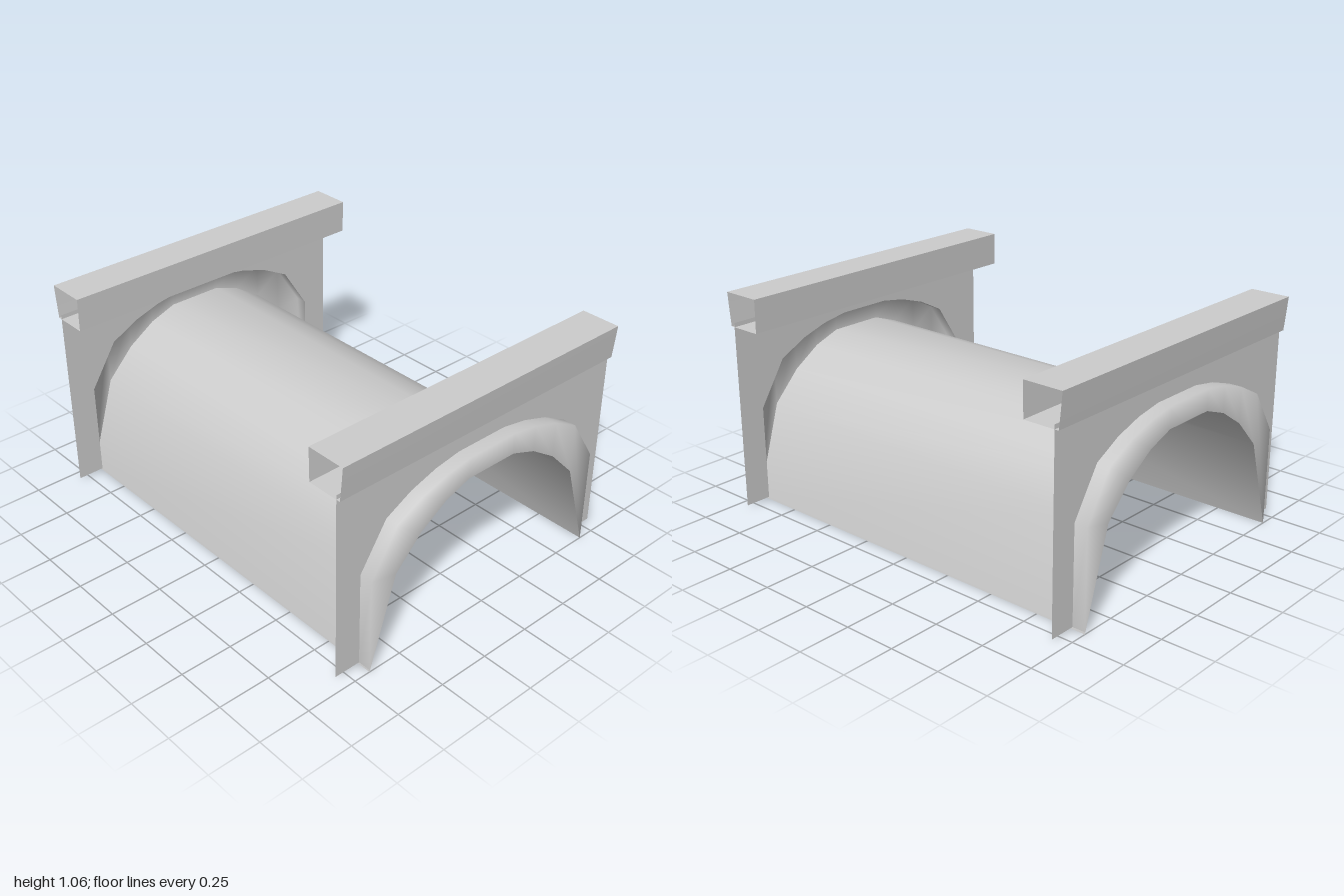
import * as THREE from 'three';
import { toCreasedNormals } from 'three/addons/utils/BufferGeometryUtils.js';

const material = new THREE.MeshStandardMaterial({ color: 0xcccccc, side: THREE.DoubleSide });

// Half profiles as [z, y], from the foot to the crown
const vaultHalf = [[0.67, 0], [0.535, 0.44], [0.4, 0.58], [0.265, 0.668], [0.135, 0.715]];
const trimHalf = [[0.67, 0.01], [0.67, 0.47], [0.535, 0.68], [0.4, 0.75], [0.265, 0.793], [0.135, 0.815]];
const mirrorArch = (half) => [...half, ...half.slice().reverse().map(([z, y]) => [-z, y])];
const vaultArch = mirrorArch(vaultHalf);
const trimArch = mirrorArch(trimHalf);
// Vault profile with a doubled foot, so it pairs with the trim profile
const innerArch = mirrorArch([[0.67, 0], ...vaultHalf]);

const along = (arch, x) => arch.map(([z, y]) => [x, y, z]);

// Open sheet through rows of points, with soft normals up to the crease angle
function sheet(rows, crease) {
  const n = rows[0].length;
  const index = [];
  for (let r = 0; r < rows.length - 1; r++) {
    for (let i = 0; i < n - 1; i++) {
      const a = r * n + i;
      index.push(a, a + 1, a + n, a + 1, a + n + 1, a + n);
    }
  }
  const geometry = new THREE.BufferGeometry();
  geometry.setAttribute('position', new THREE.Float32BufferAttribute(rows.flat(2), 3));
  geometry.setIndex(index);
  geometry.computeVertexNormals();
  return toCreasedNormals(geometry, crease);
}

function add(parent, name, geometry) {
  const mesh = new THREE.Mesh(geometry, material);
  mesh.name = name;
  parent.add(mesh);
  return mesh;
}

export function createModel() {
  const model = new THREE.Group();
  model.name = 'archedBridge';

  // Barrel vault running between the two ends
  add(model, 'vault', sheet([along(vaultArch, 1), along(vaultArch, -1)], 0.9));

  // End wall outline with the arch cut out
  const wall = new THREE.Shape();
  [[-0.8, 0.01], [-0.8, 0.92], [0.8, 0.92], [0.8, 0.01], ...trimArch]
    .forEach(([z, y], i) => (i ? wall.lineTo(z, y) : wall.moveTo(z, y)));
  wall.closePath();

  // Hollow rail section as [x, y], outer side slightly bent
  const rail = [[0.785, 0.9], [0.782, 1.06], [0.972, 1.06], [0.965, 0.98], [0.957, 0.9], [0.785, 0.9]];

  for (const side of [1, -1]) {
    const end = new THREE.Group();
    end.name = side > 0 ? 'leftEnd' : 'rightEnd';
    model.add(end);

    const endWall = add(end, 'endWall', new THREE.ShapeGeometry(wall));
    endWall.rotation.y = side * Math.PI / 2;
    endWall.position.x = side * 0.937;

    // Raised arch face with its return to the wall
    const order = [along(innerArch, side), along(trimArch, side), along(trimArch, side * 0.937)];
    add(end, 'archTrim', sheet(side > 0 ? order : order.reverse(), 1.7));

    // Open-ended square rail on top of the wall
    const section = (z) => rail.map(([x, y]) => [side * x, y, z]);
    add(end, 'topRail', sheet([section(side * 0.8), section(-side * 0.8)], 0.5));
  }
  return model;
}
